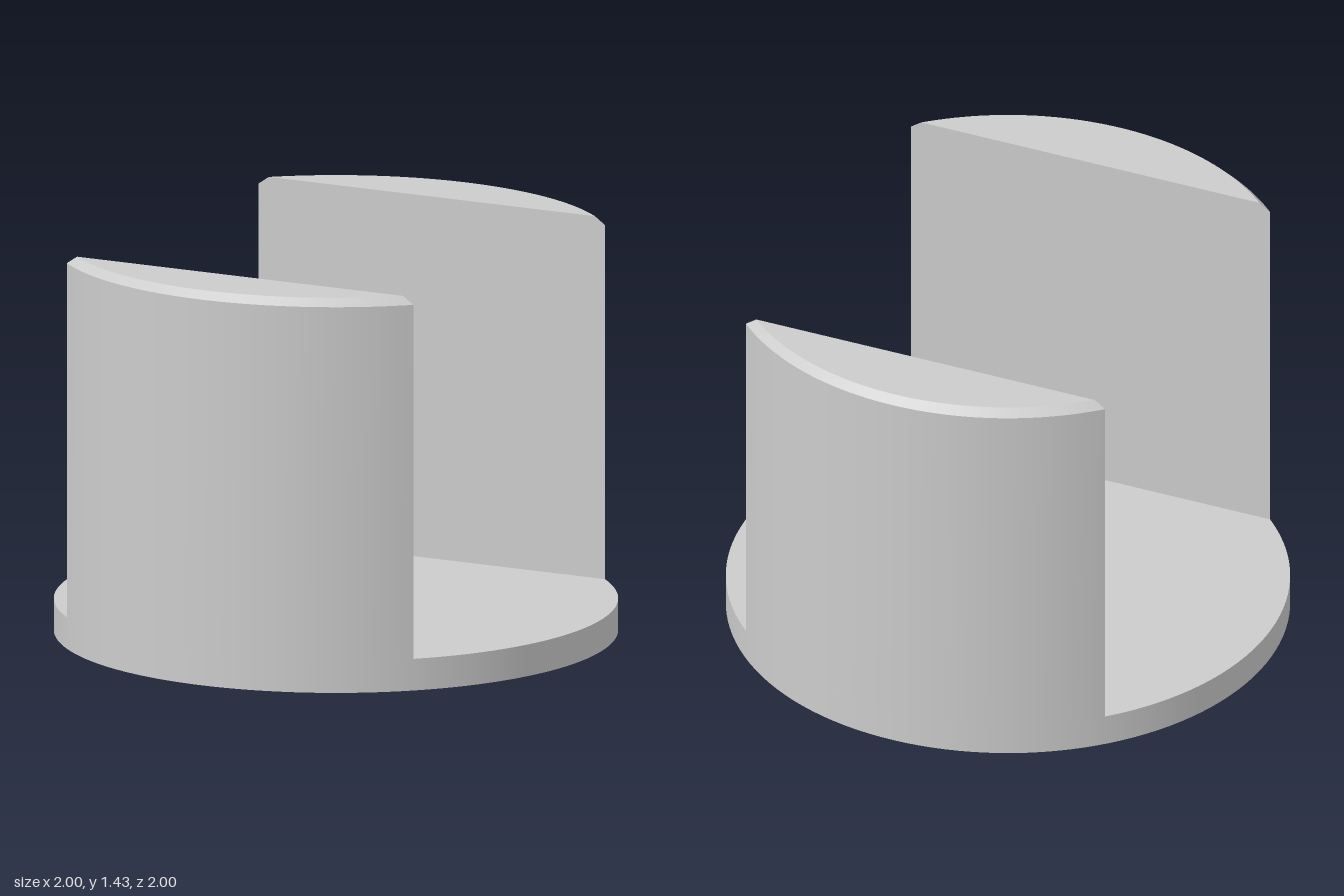
import * as THREE from 'three';
import { toCreasedNormals } from 'three/addons/utils/BufferGeometryUtils.js';

const RADIUS = 1, BASE_H = 0.115, SLOT = 0.717, TOP = 1.43, CHAMFER = 0.028;

// Solid with a circular-segment section, cut flat at z = SLOT, chamfered along the top of the arc
function wallGeometry(steps = 48) {
  const rings = [[RADIUS, BASE_H], [RADIUS, TOP - CHAMFER], [RADIUS - CHAMFER, TOP]];
  const n = steps + 1, positions = [], index = [];
  for (const [r, y] of rings) {
    const half = Math.acos(SLOT / r);
    for (let j = 0; j < n; j++) {
      const a = half * (2 * j / steps - 1);
      positions.push(r * Math.sin(a), y, r * Math.cos(a));
    }
  }
  // Sides: the wrap from last to first point forms the flat inner face
  for (let i = 0; i < rings.length - 1; i++) {
    for (let j = 0; j < n; j++) {
      const a = i * n + j, b = i * n + (j + 1) % n;
      index.push(a, b, b + n, a, b + n, a + n);
    }
  }
  // Top cap
  const t = (rings.length - 1) * n;
  for (let j = 1; j < steps; j++) index.push(t, t + j, t + j + 1);

  const geometry = new THREE.BufferGeometry();
  geometry.setAttribute('position', new THREE.Float32BufferAttribute(positions, 3));
  geometry.setIndex(index);
  return toCreasedNormals(geometry, 0.4);
}

export function createModel() {
  const group = new THREE.Group();
  const material = new THREE.MeshStandardMaterial({ color: 0xcccccc });

  // Round base plate, also the floor of the slot
  const base = new THREE.Mesh(new THREE.CylinderGeometry(RADIUS, RADIUS, BASE_H, 128), material);
  base.position.y = BASE_H / 2;
  base.name = 'base';
  group.add(base);

  // Two facing upright walls
  const geometry = wallGeometry();
  ['frontWall', 'backWall'].forEach((name, i) => {
    const wall = new THREE.Mesh(geometry, material);
    wall.rotation.y = i * Math.PI;
    wall.name = name;
    group.add(wall);
  });
  return group;
}
